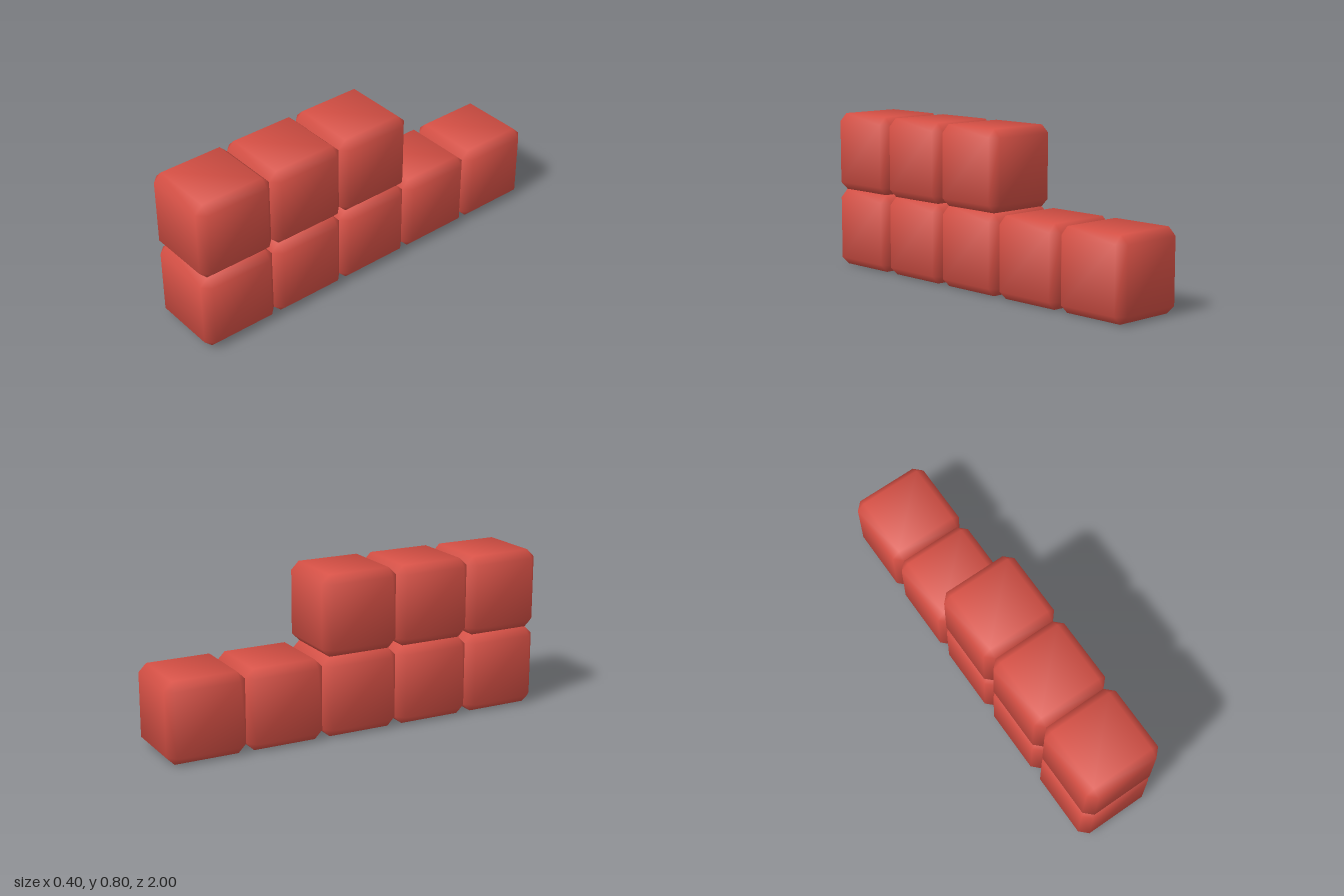
import * as THREE from 'three';
import { ConvexGeometry } from 'three/addons/geometries/ConvexGeometry.js';

const SIZE = 0.4;
const BEVEL = 0.04;

// Cube with chamfered edges and corners, softly shaded across its bevels
function chamferedCube() {
  const h = SIZE / 2, i = h - BEVEL;
  const points = [];
  for (const sx of [-1, 1]) for (const sy of [-1, 1]) for (const sz of [-1, 1]) {
    points.push(
      new THREE.Vector3(sx * h, sy * i, sz * i),
      new THREE.Vector3(sx * i, sy * h, sz * i),
      new THREE.Vector3(sx * i, sy * i, sz * h)
    );
  }
  const geometry = new ConvexGeometry(points);

  // Smooth normals: mostly along the face, leaning toward the corner
  const position = geometry.attributes.position;
  const normal = geometry.attributes.normal;
  const lean = (c) => Math.sign(c) * (Math.abs(c) > h - BEVEL / 2 ? 1 : 0.39);
  const n = new THREE.Vector3();
  for (let k = 0; k < position.count; k++) {
    n.set(lean(position.getX(k)), lean(position.getY(k)), lean(position.getZ(k))).normalize();
    normal.setXYZ(k, n.x, n.y, n.z);
  }
  return geometry;
}

export function createModel() {
  const model = new THREE.Group();
  model.name = 'stackedBlocks';
  const geometry = chamferedCube();
  const material = new THREE.MeshStandardMaterial({ color: 0xd65045 });

  // Five blocks below, three above, both rows starting at the front
  const rows = [['lowerBlock', 5], ['upperBlock', 3]];
  rows.forEach(([name, count], row) => {
    for (let k = 0; k < count; k++) {
      const block = new THREE.Mesh(geometry, material);
      block.name = name + (k + 1);
      block.position.set(0, SIZE * (row + 0.5), 1 - SIZE * (k + 0.5));
      model.add(block);
    }
  });
  return model;
}
